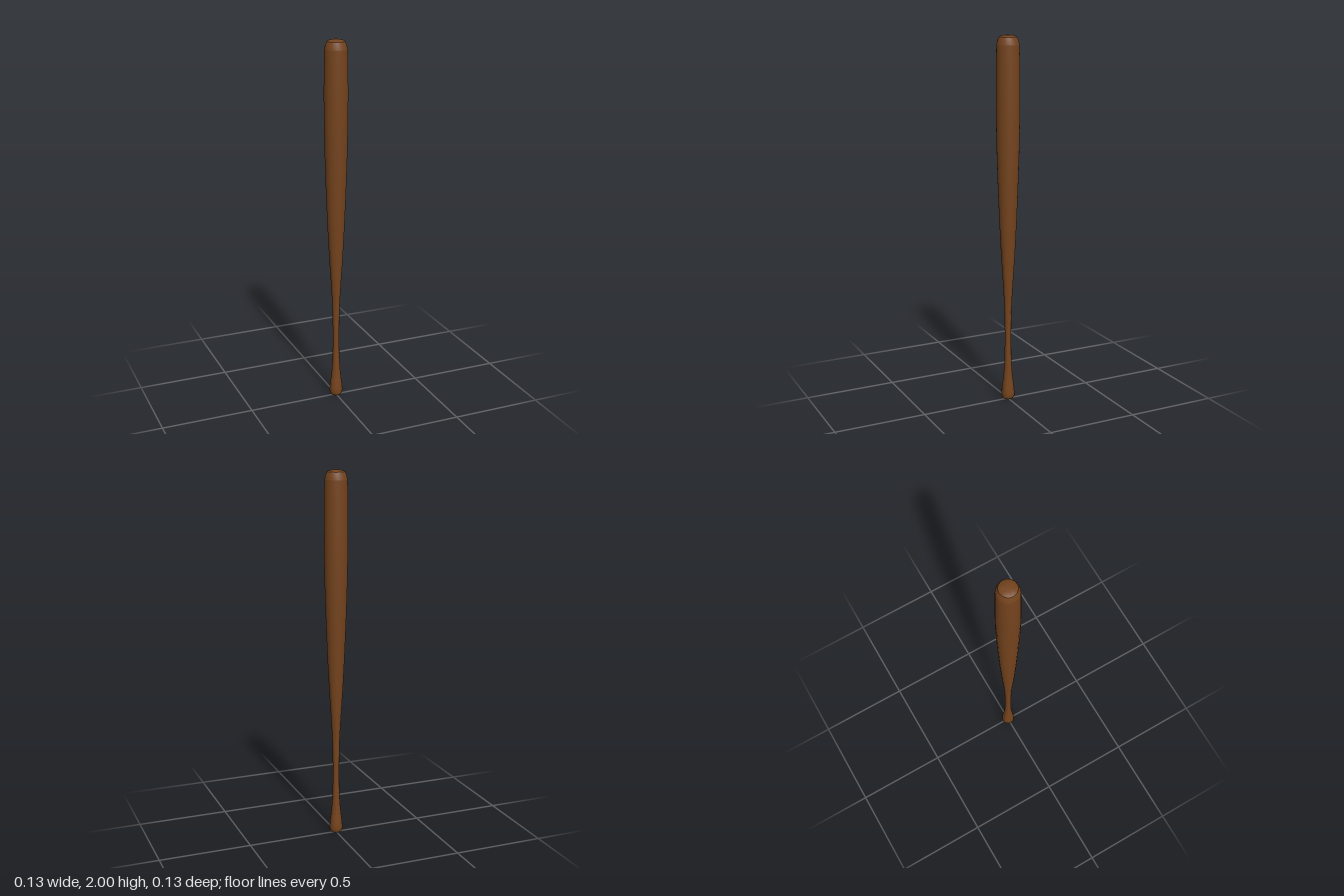
import * as THREE from 'three';
import { toCreasedNormals } from 'three/addons/utils/BufferGeometryUtils.js';

const wood = new THREE.MeshStandardMaterial({ color: 0x74431d });

// Turned part from [radius, height] pairs, listed from bottom to top
function turned(name, profile, crease) {
  const points = profile.map(([r, y]) => new THREE.Vector2(r, y));
  const geometry = toCreasedNormals(new THREE.LatheGeometry(points, 24), crease);
  const mesh = new THREE.Mesh(geometry, wood);
  mesh.name = name;
  return mesh;
}

export function createModel() {
  const bat = new THREE.Group();
  bat.name = 'bat';

  // Flared knob with a rounded underside
  bat.add(turned('knob', [
    [0, 0], [0.022, 0.002], [0.03, 0.007], [0.035, 0.018],
    [0.036, 0.035], [0.034, 0.06], [0.028, 0.11],
  ], 0.6));

  // Slim grip
  bat.add(turned('grip', [
    [0.028, 0.11], [0.023, 0.16], [0.02, 0.21], [0.018, 0.29],
    [0.0175, 0.38], [0.019, 0.47], [0.021, 0.56],
  ], 0.6));

  // Long taper widening into the barrel
  bat.add(turned('barrel', [
    [0.021, 0.56], [0.028, 0.68], [0.037, 0.82], [0.046, 1.0],
    [0.054, 1.2], [0.06, 1.4], [0.0635, 1.6], [0.0635, 1.74],
    [0.062, 1.87], [0.06, 1.95],
  ], 0.6));

  // Bevelled shoulder and shallow domed end
  bat.add(turned('endCap', [
    [0.06, 1.95], [0.055, 1.972], [0.047, 1.99],
    [0.036, 1.996], [0.02, 1.999], [0, 2],
  ], 0.45));

  return bat;
}
